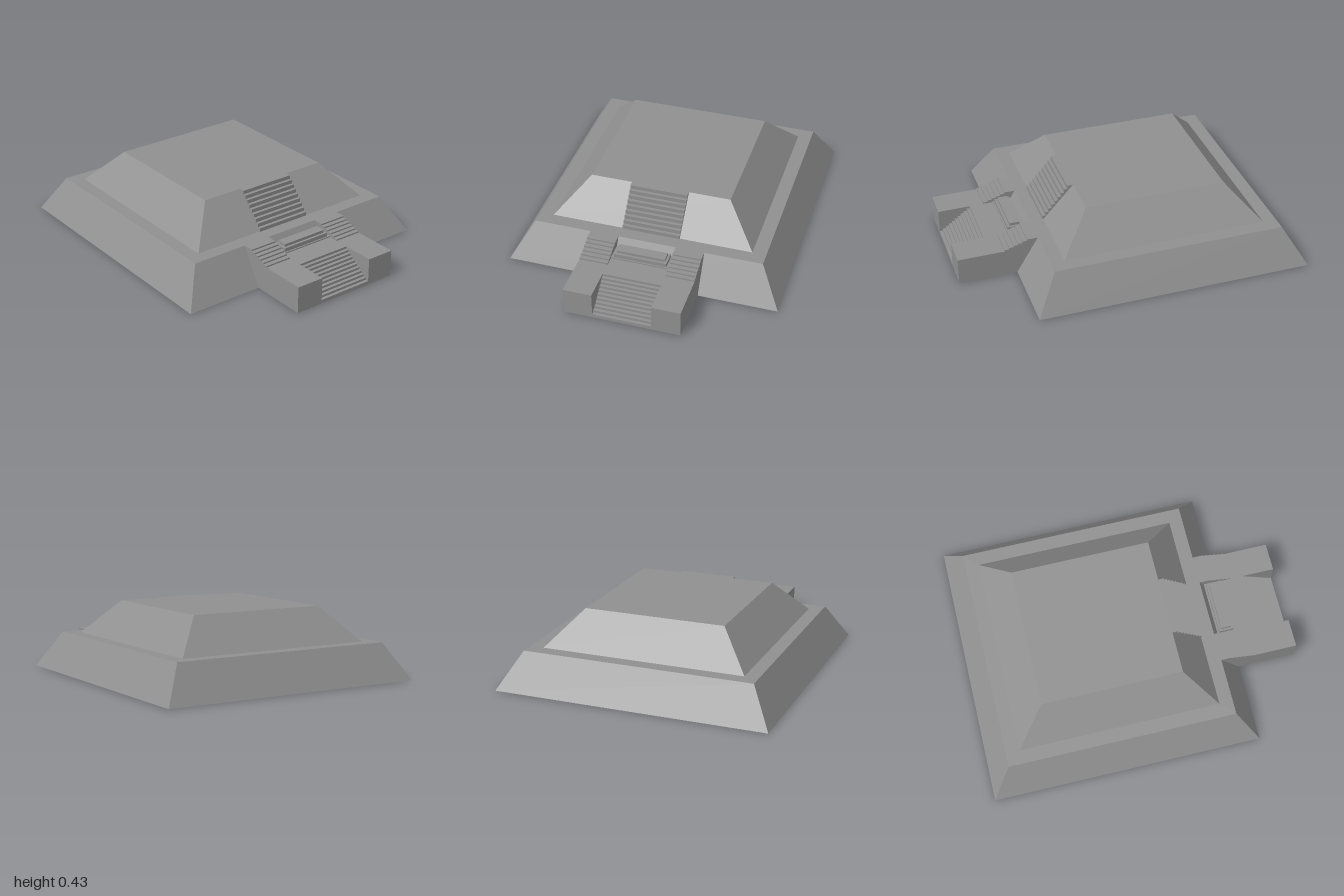
import * as THREE from 'three';

function material(name, color) {
  const m = new THREE.MeshStandardMaterial({ color });
  m.name = name;
  return m;
}
const stone = material('grey stone', 0x909090);
const paleStone = material('pale underside', 0xcccccc);

// Masonry starts just above the underside face
const BASE = 0.002;

function addMesh(group, name, geometry, mat = stone) {
  const mesh = new THREE.Mesh(geometry, mat);
  mesh.name = name;
  group.add(mesh);
}

// Sloped block: lower and upper rectangles given as half width, back z, front z
function terrace(y0, y1, low, high) {
  const geo = new THREE.BoxGeometry(2, 2, 2);
  const p = geo.attributes.position;
  for (let i = 0; i < p.count; i++) {
    const top = p.getY(i) > 0;
    const [w, back, front] = top ? high : low;
    p.setXYZ(i, p.getX(i) * w, top ? y1 : y0, p.getZ(i) > 0 ? front : back);
  }
  geo.computeVertexNormals();
  return geo;
}

function shapeOf(points) {
  return new THREE.Shape(points.map(([a, b]) => new THREE.Vector2(a, b)));
}

// Side profile of [z, y] points, extruded from x0 to x1
function extrudeProfile(points, x0, x1) {
  const geo = new THREE.ExtrudeGeometry(shapeOf(points), { depth: x1 - x0, bevelEnabled: false });
  geo.rotateY(-Math.PI / 2);
  geo.translate(x1, 0, 0);
  return geo;
}

// Step corners rising from (z0, y0) to (z1, y1); each step starts with a riser
function steps(count, z0, y0, z1, y1) {
  const points = [];
  const run = (z1 - z0) / (count - 1), rise = (y1 - y0) / count;
  for (let i = 0; i < count; i++) {
    points.push([z0 + i * run, y0 + i * rise], [z0 + i * run, y0 + (i + 1) * rise]);
  }
  return points;
}

function box(w, y0, y1, z0, z1) {
  return new THREE.BoxGeometry(w, y1 - y0, z1 - z0).translate(0, (y0 + y1) / 2, (z0 + z1) / 2);
}

export function createModel() {
  const model = new THREE.Group();
  model.name = 'steppedTemplePlatform';

  // Two sloped terraces
  addMesh(model, 'lowerTerrace', terrace(BASE, 0.22, [0.822, -1, 0.65], [0.695, -0.873, 0.52]));
  addMesh(model, 'upperTerrace', terrace(0.22, 0.425, [0.612, -0.79, 0.437], [0.427, -0.603, 0.25]));

  // Stair up the front of the upper terrace
  addMesh(model, 'upperStair', extrudeProfile(
    [[0.25, 0.22], ...steps(9, 0.442, 0.22, 0.285, 0.425), [0.25, 0.425]], -0.175, 0.175));

  // Porch flanks, each with a short stair to the lower terrace
  const flank = [[0.52, BASE], [1, BASE], [1, 0.165],
    ...steps(6, 0.72, 0.165, 0.585, 0.22), [0.52, 0.22]];
  addMesh(model, 'porchFlankLeft', extrudeProfile(flank, 0.175, 0.347));
  addMesh(model, 'porchFlankRight', extrudeProfile(flank, -0.347, -0.175));

  // Recessed entrance stair, landing and low plinth
  addMesh(model, 'entranceStair', extrudeProfile(
    [[0.52, BASE], [1, BASE], ...steps(11, 1, 0.01, 0.805, 0.165),
      [0.66, 0.165], [0.66, 0.172], [0.52, 0.172]], -0.175, 0.175));

  // Two-tier altar on the plinth
  addMesh(model, 'altarBase', box(0.316, 0.172, 0.195, 0.56, 0.652));
  addMesh(model, 'altarTop', box(0.29, 0.195, 0.212, 0.575, 0.637));

  // Underside, one flat face in the outline of terrace and porch
  const outline = [[-0.822, -1], [0.822, -1], [0.822, 0.65], [0.347, 0.65],
    [0.347, 1], [-0.347, 1], [-0.347, 0.65], [-0.822, 0.65]];
  addMesh(model, 'underside',
    new THREE.ShapeGeometry(shapeOf(outline)).rotateX(Math.PI / 2), paleStone);

  return model;
}
